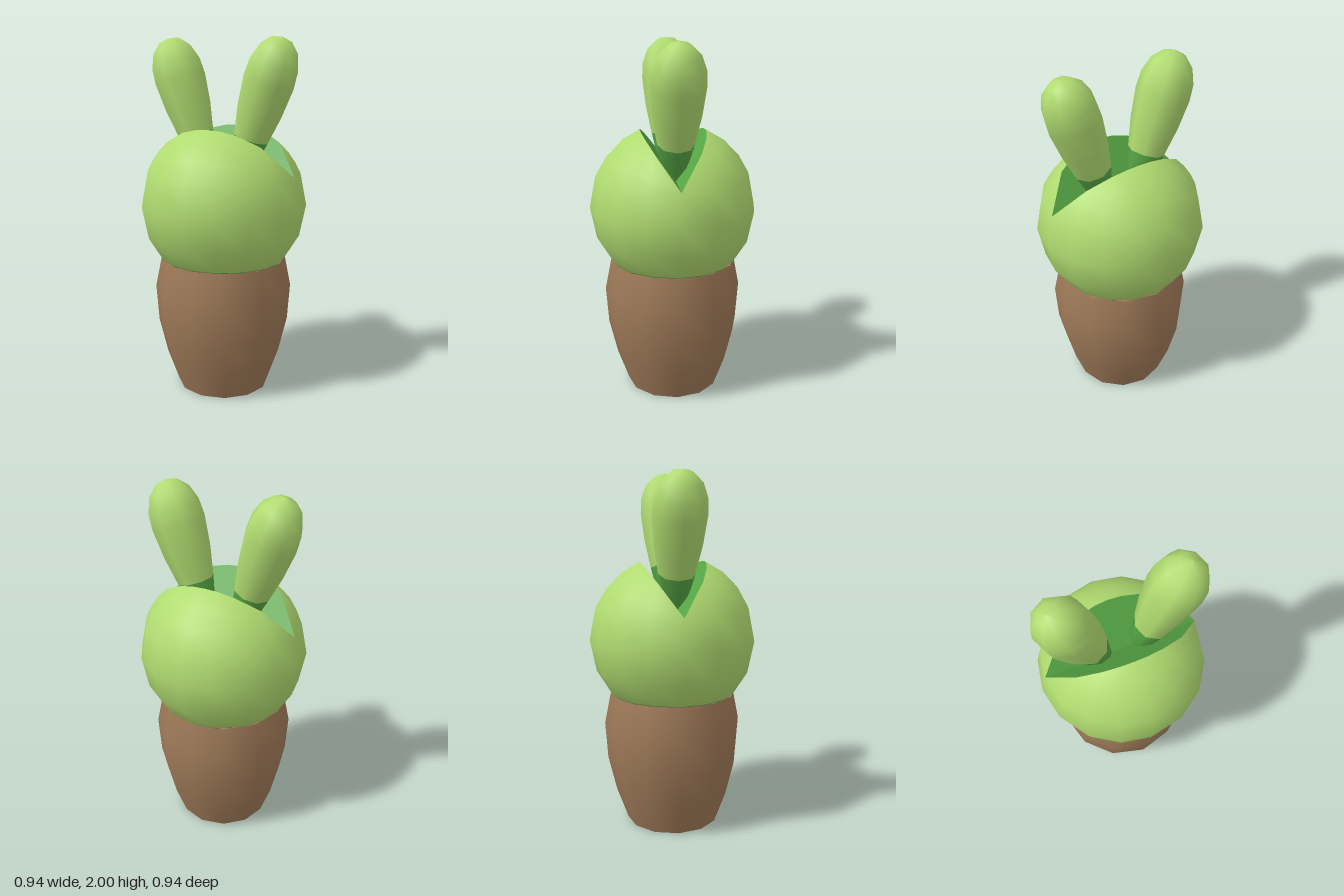
import * as THREE from 'three';

const skin = new THREE.MeshStandardMaterial({ color: 0xb0db70 });
skin.name = 'light green skin';
const flesh = new THREE.MeshStandardMaterial({ color: 0x57a745, side: THREE.DoubleSide });
flesh.name = 'mid green flesh';
const clay = new THREE.MeshStandardMaterial({ color: 0x9f7a58 });
clay.name = 'brown clay';

const R = 0.47, CY = 1.08, VALLEY = 1.26, SIDES = 16;
const SLOPE = 0.25 / 0.18;
const deg = Math.PI / 180;

function add(parent, name, geometry, material) {
  const mesh = new THREE.Mesh(geometry, material);
  mesh.name = name;
  parent.add(mesh);
  return mesh;
}

function lathe(points, sides) {
  return new THREE.LatheGeometry(points.map(([r, y]) => new THREE.Vector2(r, y)), sides);
}

// Polar angle at which the ball's surface meets the sloping notch wall
function rimAngle(phi) {
  const k = SLOPE * Math.abs(Math.sin(phi));
  return Math.acos((VALLEY - CY) / R / Math.hypot(1, k)) - Math.atan(k);
}

function ballDirection(t, phi) {
  return new THREE.Vector3(Math.sin(t) * Math.cos(phi), Math.cos(t), Math.sin(t) * Math.sin(phi));
}

// Ball surface swept through rows of polar angles, each row a function of phi
function ballSurface(rows) {
  const pos = [], nor = [], idx = [];
  rows.forEach((row, j) => {
    for (let i = 0; i <= SIDES; i++) {
      const phi = (i / SIDES) * Math.PI * 2;
      const d = ballDirection(row(phi), phi);
      pos.push(d.x * R, d.y * R + CY, d.z * R);
      nor.push(d.x, d.y, d.z);
      if (j && i) {
        const b = j * (SIDES + 1) + i, a = b - SIDES - 1;
        idx.push(a - 1, a, b - 1, a, b, b - 1);
      }
    }
  });
  const g = new THREE.BufferGeometry();
  g.setAttribute('position', new THREE.Float32BufferAttribute(pos, 3));
  g.setAttribute('normal', new THREE.Float32BufferAttribute(nor, 3));
  g.setIndex(idx);
  return g;
}

// Flat wall from the valley line up to the rim, on one side of the notch
function notchWall(side) {
  const pos = [], idx = [], n = SIDES / 2;
  for (let i = 0; i <= n; i++) {
    const phi = side * (i / n) * Math.PI;
    const p = ballDirection(rimAngle(phi), phi).multiplyScalar(R);
    pos.push(p.x, p.y + CY, p.z, p.x, VALLEY, 0);
    if (i) {
      const a = 2 * i - 2;
      if (side > 0) idx.push(a, a + 2, a + 1, a + 2, a + 3, a + 1);
      else idx.push(a, a + 1, a + 2, a + 2, a + 1, a + 3);
    }
  }
  const g = new THREE.BufferGeometry();
  g.setAttribute('position', new THREE.Float32BufferAttribute(pos, 3));
  // constant normal of the sloping plane
  const normal = new THREE.Vector3(0, 1, -side * SLOPE).normalize();
  const nor = pos.map((_, i) => normal.getComponent(i % 3));
  g.setAttribute('normal', new THREE.Float32BufferAttribute(nor, 3));
  g.setIndex(idx);
  return g;
}

export function createModel() {
  const model = new THREE.Group();
  model.name = 'pottedPlant';

  // Pot: tapered wall with closed ends
  const pot = new THREE.Group();
  pot.name = 'pot';
  model.add(pot);
  add(pot, 'potWall', lathe([[0.265, 0], [0.33, 0.18], [0.378, 0.38], [0.393, 0.59], [0.357, 0.768]], 12), clay);
  add(pot, 'potBase', new THREE.CircleGeometry(0.265, 12).rotateX(Math.PI / 2), clay);
  add(pot, 'potTop', new THREE.CircleGeometry(0.357, 12).rotateX(-Math.PI / 2).translate(0, 0.766, 0), clay);

  // Body: ball with a V-shaped notch across the top
  const body = new THREE.Group();
  body.name = 'body';
  model.add(body);
  const fixed = [67.5, 90, 112.5, 131].map((a) => () => a * deg);
  const blend = [0, 1 / 3, 2 / 3].map((f) => (phi) => THREE.MathUtils.lerp(rimAngle(phi), 67.5 * deg, f));
  add(body, 'bodySkin', ballSurface([...blend, ...fixed]), skin);
  add(body, 'bodyUnderside', ballSurface([131, 145, 180].map((a) => () => a * deg)), flesh);
  add(body, 'notchFrontWall', notchWall(1), flesh);
  add(body, 'notchBackWall', notchWall(-1), flesh);

  // Two leaning club-shaped leaves growing out of the notch
  for (const [side, name] of [[1, 'leftLeaf'], [-1, 'rightLeaf']]) {
    const leaf = new THREE.Group();
    leaf.name = name;
    leaf.position.set(side * 0.1, 1.24, 0);
    leaf.rotation.z = -side * 0.32;
    add(leaf, 'leafBase', lathe([[0, 0], [0.05, 0], [0.102, 0.235]], 8), flesh);
    add(leaf, 'leafBlade', lathe([[0.102, 0.235], [0.132, 0.4], [0.148, 0.56], [0.142, 0.65],
      [0.112, 0.73], [0.06, 0.782], [0, 0.797]], 8), skin);
    model.add(leaf);
  }
  return model;
}
